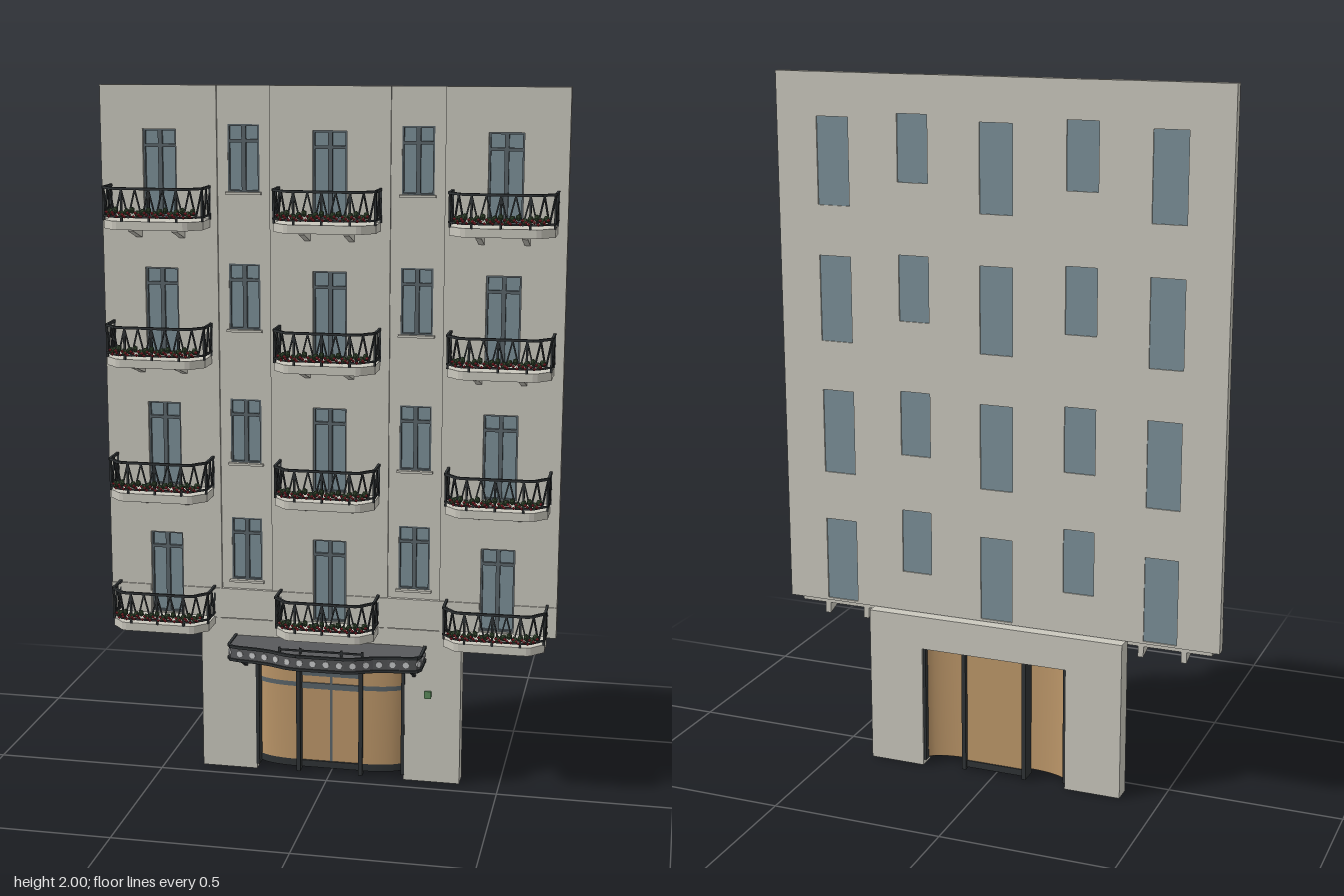
import * as THREE from 'three';
import { mergeGeometries } from 'three/addons/utils/BufferGeometryUtils.js';

const mat = (name, color, double) => {
  const m = new THREE.MeshStandardMaterial({ color });
  m.name = name;
  if (double) m.side = THREE.DoubleSide;
  return m;
};
const V = (x, y, z) => new THREE.Vector3(x, y, z);

export function createModel() {
  const M = {
    stone: mat('stone', 0xcac8be),
    glass: mat('window glass', 0x7b9098),
    frame: mat('window frame', 0x5b656a),
    iron: mat('dark iron', 0x2f3335),
    canopy: mat('canopy grey', 0x58595b),
    wood: mat('warm door panel', 0xbe986a, true),
    lamp: mat('lamp', 0xc9cacb),
    leaf: mat('leaves', 0x34472f),
    red: mat('red flowers', 0xa32a35),
    green: mat('green sign', 0x5c8a5c),
  };
  const model = new THREE.Group();
  const mesh = (name, geo, material, parent = model) => {
    const m = new THREE.Mesh(geo, material);
    m.name = name;
    parent.add(m);
    return m;
  };
  // box given by its limits
  const box = (x0, x1, y0, y1, z0, z1) =>
    new THREE.BoxGeometry(x1 - x0, y1 - y0, z1 - z0).translate((x0 + x1) / 2, (y0 + y1) / 2, (z0 + z1) / 2);
  // square bar between two points
  const bar = (a, b, w) => {
    const o = new THREE.Object3D();
    o.position.copy(a).add(b).multiplyScalar(0.5);
    o.lookAt(b);
    o.updateMatrix();
    return new THREE.BoxGeometry(w, w, a.distanceTo(b) + w * 0.5).applyMatrix4(o.matrix);
  };
  const rectShape = (x0, x1, y0, y1) => new THREE.Shape([[x0, y0], [x1, y0], [x1, y1], [x0, y1]].map(p => new THREE.Vector2(...p)));
  const extrude = (shape, z0, z1) =>
    new THREE.ExtrudeGeometry(shape, { depth: z1 - z0, bevelEnabled: false }).translate(0, 0, z0);
  // horizontal slab from an [x, z] outline
  const slab = (pts, y0, y1) =>
    new THREE.ExtrudeGeometry(new THREE.Shape(pts.map(([x, z]) => new THREE.Vector2(x, -z))), { depth: y1 - y0, bevelEnabled: false })
      .rotateX(-Math.PI / 2).translate(0, y0, 0);
  const mirrorPath = half => [...half, ...half.map(([x, z]) => [-x, z]).reverse()];
  const pathOf = pts => {
    const c = new THREE.CurvePath();
    for (let i = 1; i < pts.length; i++) c.add(new THREE.LineCurve3(V(pts[i - 1][0], 0, pts[i - 1][1]), V(pts[i][0], 0, pts[i][1])));
    return c;
  };
  const rails = (pts, y, w) => pts.slice(1).map((p, i) => bar(V(pts[i][0], y, pts[i][1]), V(p[0], y, p[1]), w));

  // window layout: [x0, x1, y0, y1]
  const floors = [0.47, 0.857, 1.245, 1.632];
  const columns = [-0.485, 0, 0.485];
  const openings = [];
  for (const f of floors) for (const c of columns) openings.push({ r: [c - 0.048, c + 0.048, f + 0.002, f + 0.247], tall: true });
  for (const b of [0.584, 0.934, 1.321, 1.708]) for (const c of [-0.245, 0.245]) openings.push({ r: [c - 0.045, c + 0.045, b, b + 0.186], tall: false });
  const panel = (x0, x1, z0, z1) => {
    const s = rectShape(x0, x1, 0.465, 2);
    for (const { r } of openings) if (r[0] > x0 && r[1] < x1) s.holes.push(rectShape(...r));
    return extrude(s, z0, z1);
  };

  // wall with projecting wide bays
  mesh('wall', panel(-0.655, 0.655, -0.075, -0.055), M.stone);
  for (const [a, b] of [[-0.655, -0.32], [-0.17, 0.17], [0.32, 0.655]]) mesh('wallBay', panel(a, b, -0.055, -0.048), M.stone);
  mesh('bandCourse', mergeGeometries([[-0.655, -0.535], [-0.435, -0.05], [0.05, 0.435], [0.535, 0.655]]
    .map(([a, b]) => box(a, b, 0.467, 0.556, -0.056, -0.044))), M.stone);

  // windows
  const panes = [], bars = [], sills = [];
  for (const { r: [x0, x1, y0, y1], tall } of openings) {
    const c = (x0 + x1) / 2, t = 0.005, z0 = -0.068, z1 = -0.056;
    panes.push(box(x0, x1, y0, y1, -0.071, -0.065));
    bars.push(box(x0, x0 + t, y0, y1, z0, z1), box(x1 - t, x1, y0, y1, z0, z1), box(c - 0.006, c + 0.006, y0, y1, z0, z1),
      box(x0, x1, y1 - t, y1, z0, z1), box(x0, x1, y0, y0 + t, z0, z1), box(x0, x1, y1 - 0.05, y1 - 0.041, z0, z1));
    if (!tall) sills.push(box(x0 - 0.006, x1 + 0.006, y0 - 0.007, y0, -0.056, -0.043));
  }
  mesh('windowPanes', mergeGeometries(panes), M.glass);
  mesh('windowFrames', mergeGeometries(bars), M.frame);
  mesh('windowSills', mergeGeometries(sills), M.stone);

  // one balcony, repeated for each tall window
  const balcony = new THREE.Group();
  balcony.name = 'balcony';
  const edge = mirrorPath([[-0.143, -0.05], [-0.143, 0.026], [-0.126, 0.042], [-0.108, 0.062], [-0.095, 0.066]]);
  mesh('balconySlab', slab(edge, -0.024, 0), M.stone, balcony);
  const bracket = new THREE.Shape([[0.05, -0.024], [-0.035, -0.024], [-0.035, -0.03], [0.05, -0.056]].map(p => new THREE.Vector2(...p)));
  for (const x of [-0.0625, 0.0625])
    mesh('balconyBracket', extrude(bracket, -0.008, 0.008).rotateY(Math.PI / 2).scale(1, 1, -1).rotateY(Math.PI).scale(-1, 1, 1).translate(x, 0, 0), M.stone, balcony);
  const path = pathOf(edge), N = 24, iron = [...rails(edge, 0.09, 0.007), ...rails(edge, 0.012, 0.005)];
  const at = (u, y) => path.getPoint(u).setY(y);
  for (let i = 0; i < N; i++) {
    iron.push(bar(at(i / N, i % 2 ? 0.01 : 0.088), at((i + 1) / N, i % 2 ? 0.088 : 0.01), 0.004));
    if (i % 4 === 0 || i === N - 4) iron.push(bar(at(i / N, 0), at(i / N, 0.092), 0.006));
  }
  iron.push(bar(at(1, 0), at(1, 0.092), 0.006));
  mesh('railing', mergeGeometries(iron), M.iron, balcony);
  // flower clumps along the front
  const leaves = [], blooms = [];
  for (let i = 0; i < 17; i++) {
    const p = at(0.23 + 0.54 * i / 16, 0);
    leaves.push(new THREE.IcosahedronGeometry(0.01, 0).scale(1, 1.1, 0.8).rotateY(i).translate(p.x, 0.021 + 0.005 * (i % 3), p.z));
    for (const s of [-1, 1])
      blooms.push(new THREE.OctahedronGeometry(0.005, 0).translate(p.x + s * 0.005, 0.014 + 0.005 * ((i + s + 3) % 3), p.z + 0.007));
  }
  mesh('leaves', mergeGeometries(leaves), M.leaf, balcony);
  mesh('flowers', mergeGeometries(blooms), M.red, balcony);
  for (const y of floors) for (const x of columns) {
    const b = balcony.clone();
    b.position.set(x, y, 0);
    model.add(b);
  }

  // ground floor block with the entrance opening
  const base = new THREE.Shape([[-0.385, 0], [-0.22, 0], [-0.22, 0.365], [0.22, 0.365], [0.22, 0], [0.385, 0], [0.385, 0.463], [-0.385, 0.463]]
    .map(p => new THREE.Vector2(...p)));
  mesh('groundFloor', extrude(base, -0.105, -0.052), M.stone);

  // curved side panels of the entrance
  const curved = (y0, y1, off) => {
    const g = new THREE.PlaneGeometry(1, y1 - y0, 8, 1), p = g.attributes.position;
    for (let i = 0; i < p.count; i++) {
      const a = (p.getX(i) + 0.5) * Math.PI / 2;
      p.setXYZ(i, 0.095 + 0.122 * Math.sin(a), p.getY(i) + (y0 + y1) / 2, -0.095 + 0.042 * Math.cos(a) + off);
    }
    g.computeVertexNormals();
    return g;
  };
  M.frame.side = M.iron.side = THREE.DoubleSide;
  for (const s of [-1, 1]) {
    const side = new THREE.Group();
    side.name = s > 0 ? 'leftEntrancePanel' : 'rightEntrancePanel';
    side.scale.x = s;
    model.add(side);
    mesh('curvedPanel', curved(0.02, 0.365, 0), M.wood, side);
    mesh('kickPlate', curved(0.018, 0.04, 0.003), M.iron, side);
    for (const y of [0.268, 0.325]) mesh('curvedBar', curved(y, y + 0.014, 0.003), M.frame, side);
    mesh('curvedHead', curved(0.35, 0.365, 0.003), M.iron, side);
    mesh('doorPost', box(0.087, 0.099, 0.005, 0.365, -0.1, -0.044), M.iron, side);
    mesh('jamb', box(0.212, 0.222, 0.015, 0.365, -0.1, -0.05), M.iron, side);
  }
  // central double door
  mesh('doors', box(-0.09, 0.09, 0.02, 0.365, -0.086, -0.076), M.wood);
  mesh('doorKickPlate', box(-0.09, 0.09, 0.01, 0.03, -0.09, -0.07), M.iron);
  mesh('doorBars', mergeGeometries([box(-0.004, 0.004, 0.03, 0.36, -0.078, -0.073),
    ...[0.255, 0.295, 0.348].map(y => box(-0.09, 0.09, y, y + 0.018, -0.078, -0.072))]), M.frame);

  // entrance canopy
  const rim = mirrorPath([[-0.28, -0.05], [-0.28, 0.035], [-0.272, 0.05], [-0.25, 0.057], [-0.19, 0.064], [-0.15, 0.073], [-0.1, 0.094], [-0.07, 0.1]]);
  mesh('canopy', slab(rim, 0.374, 0.414), M.canopy);
  mesh('canopyRims', mergeGeometries([...rails(rim, 0.374, 0.008), ...rails(rim, 0.413, 0.008)]), M.iron);
  const rimPath = pathOf(rim), lamps = [];
  for (let i = 0; i < 20; i++) {
    const u = (i + 0.5) / 20, p = rimPath.getPoint(u);
    const t = rimPath.getPoint(u + 0.005).sub(rimPath.getPoint(u - 0.005));
    lamps.push(new THREE.CylinderGeometry(0.009, 0.009, 0.006, 12).rotateX(Math.PI / 2)
      .rotateY(Math.atan2(-t.z, t.x)).translate(p.x, 0.394, p.z));
  }
  mesh('canopyLamps', mergeGeometries(lamps), M.lamp);
  const frame = [bar(V(-0.12, 0.424, 0.08), V(0.12, 0.424, 0.08), 0.005)];
  for (const x of [-0.12, -0.06, 0.06, 0.12]) frame.push(bar(V(x, 0.41, 0.08), V(x, 0.43, 0.08), 0.006));
  for (const x of [-0.25, 0.25]) frame.push(bar(V(x, 0.375, 0.045), V(x, 0.325, -0.05), 0.008));
  mesh('canopyFrame', mergeGeometries(frame), M.iron);

  // small wall plate beside the entrance
  mesh('wallPlate', box(0.28, 0.3, 0.258, 0.28, -0.052, -0.046), M.green);
  return model;
}
